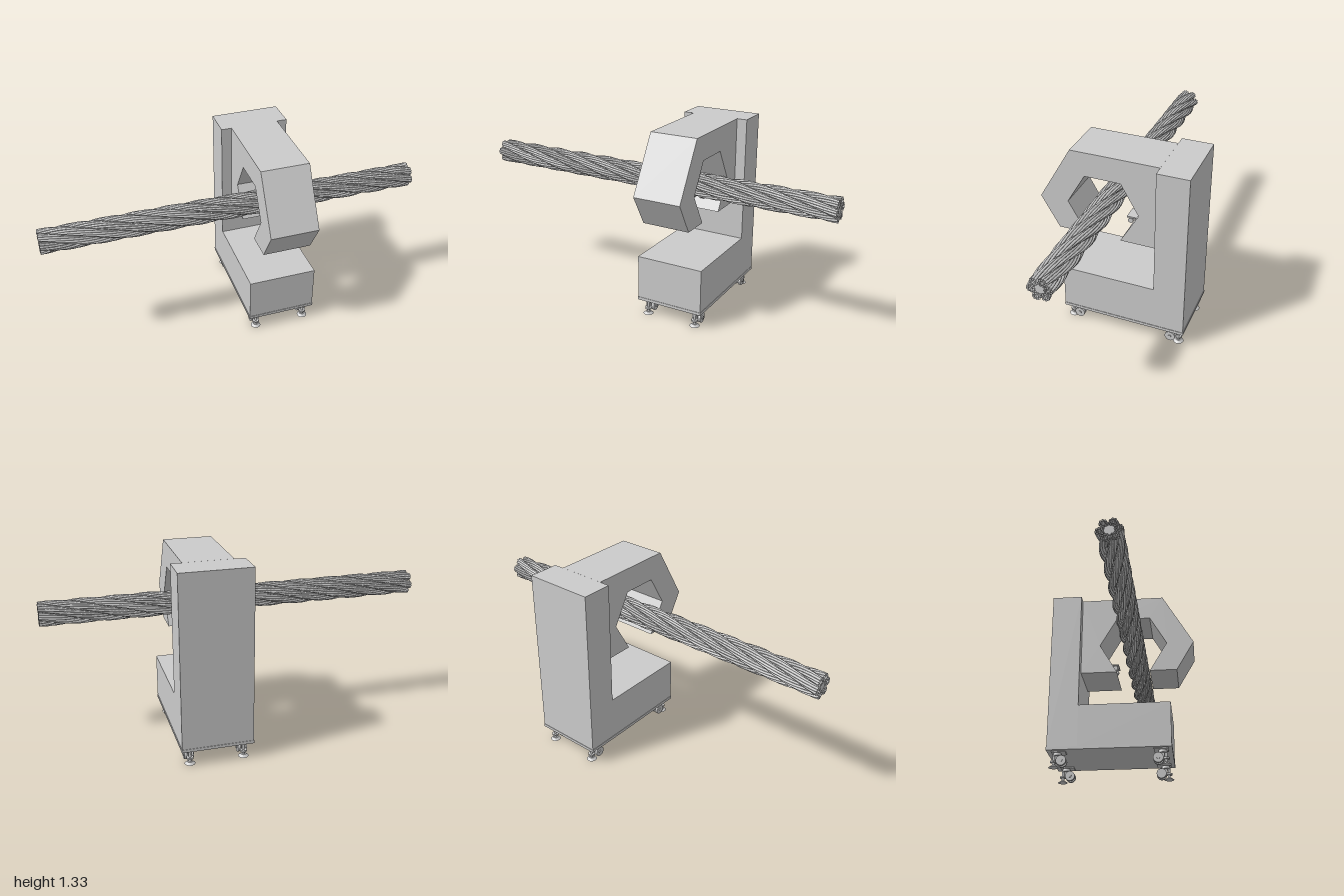
import * as THREE from 'three';
import { mergeGeometries } from 'three/addons/utils/BufferGeometryUtils.js';

const grey = new THREE.MeshStandardMaterial({ color: 0xcccccc });
const flat = new THREE.MeshStandardMaterial({ color: 0xcccccc, flatShading: true });
const thin = new THREE.MeshStandardMaterial({ color: 0xcccccc, side: THREE.DoubleSide });

const MID_Z = -0.276;    // middle of the machine along the rope
const ROPE_Y = 0.94;
const ROPE_HALF = 1.33;

function add(parent, name, geometry, x, y, z, material = grey) {
  const mesh = new THREE.Mesh(geometry, material);
  mesh.name = name;
  mesh.position.set(x, y, z);
  parent.add(mesh);
  return mesh;
}

// Box given by its x and y limits, centred on the machine's middle plane
function slab(parent, name, x0, x1, y0, y1, depth) {
  return add(parent, name, new THREE.BoxGeometry(x1 - x0, y1 - y0, depth),
    (x0 + x1) / 2, (y0 + y1) / 2, MID_Z, flat);
}

// Measuring head: half hexagon joined to the column, hexagonal opening cut open below
function headGeometry() {
  const R = 0.445, r = 0.248, drop = 0.22, h = Math.sqrt(3) / 2;
  const lean = drop / Math.sqrt(3);
  const shape = new THREE.Shape([
    [-0.385, R * h], [R / 2, R * h], [R, 0], [R - lean, -drop],
    [r - lean, -drop], [r, 0], [r / 2, r * h], [-r / 2, r * h],
    [-r, 0], [-r + lean, -drop], [-0.385, -drop],
  ].map(([x, y]) => new THREE.Vector2(x, y)));
  return new THREE.ExtrudeGeometry(shape, { depth: 0.34, bevelEnabled: false })
    .translate(0, 0, -0.17);
}

// Swivel caster with a twin wheel and a levelling foot; the wheels trail towards +x
function caster() {
  const g = new THREE.Group();
  g.name = 'caster';
  const cyl = (r0, r1, h, n = 16) => new THREE.CylinderGeometry(r0, r1, h, n);
  add(g, 'mountingPlate', new THREE.BoxGeometry(0.1, 0.008, 0.08), 0.01, 0.106, 0);
  add(g, 'swivelHead', cyl(0.028, 0.032, 0.022), 0, 0.092, 0);
  add(g, 'footStem', cyl(0.01, 0.01, 0.08, 10), -0.025, 0.05, 0);
  add(g, 'adjusterRing', cyl(0.024, 0.024, 0.012), -0.025, 0.042, 0);
  add(g, 'levellingFoot', cyl(0.018, 0.036, 0.014), -0.025, 0.007, 0);
  add(g, 'forkBody', new THREE.BoxGeometry(0.05, 0.04, 0.024), 0.012, 0.068, 0);
  for (const s of [-1, 1]) {
    add(g, 'wheel', cyl(0.036, 0.036, 0.018, 20), 0.03, 0.044, s * 0.022).rotation.x = Math.PI / 2;
    add(g, 'wheelHub', cyl(0.012, 0.012, 0.006, 12), 0.03, 0.044, s * 0.034).rotation.x = Math.PI / 2;
  }
  return g;
}

// One wire: a helix wound round a strand that is itself a helix round the rope
class WireCurve extends THREE.Curve {
  constructor(strandAngle, wireAngle, wireOrbit) {
    super();
    Object.assign(this, { strandAngle, wireAngle, wireOrbit });
  }
  getPoint(t, target = new THREE.Vector3()) {
    const z = (1 - 2 * t) * ROPE_HALF;
    const a = this.strandAngle + (z / 1.3) * Math.PI * 2;
    const b = this.wireAngle - (z / 0.9) * Math.PI * 2;
    return target.set(
      0.057 * Math.cos(a) + this.wireOrbit * Math.cos(b),
      0.057 * Math.sin(a) + this.wireOrbit * Math.sin(b), z);
  }
}

function rope() {
  const g = new THREE.Group();
  g.name = 'wireRope';
  g.position.y = ROPE_Y;
  const turn = Math.PI * 2;
  for (let s = 0; s < 6; s++) {
    const wires = [];
    const wire = (angle, orbit, radius) => wires.push(new THREE.TubeGeometry(
      new WireCurve(s / 6 * turn, angle, orbit), 110, radius, 6));
    wire(0, 0, 0.016);
    for (let w = 0; w < 8; w++) wire(w / 8 * turn, 0.0205, 0.0082);
    add(g, 'ropeStrand', mergeGeometries(wires), 0, 0, 0, thin);
  }
  add(g, 'ropeCore', new THREE.CylinderGeometry(0.034, 0.034, ROPE_HALF * 2 - 0.01, 12), 0, 0, 0)
    .rotation.x = Math.PI / 2;
  return g;
}

export function createModel() {
  const root = new THREE.Group();
  root.name = 'ropeInspectionMachine';

  // Everything is built along the rope (z) and then turned diagonally
  const machine = new THREE.Group();
  machine.name = 'machine';
  machine.rotation.y = -Math.PI / 4;
  root.add(machine);

  slab(machine, 'column', -0.6, -0.385, 0.13, 1.325, 0.486);
  slab(machine, 'base', -0.385, 0.27, 0.13, 0.44, 0.486);
  slab(machine, 'basePlate', -0.603, 0.273, 0.11, 0.131, 0.492);
  add(machine, 'measuringHead', headGeometry(), 0, ROPE_Y, MID_Z, flat);

  // Small guide bracket inside the opening, below the rope
  slab(machine, 'guideBracket', -0.2, -0.12, 0.828, 0.838, 0.1);
  for (const s of [-1, 1]) {
    add(machine, 'guideRoller', new THREE.CylinderGeometry(0.018, 0.018, 0.03, 14),
      -0.145, 0.808, MID_Z + s * 0.035).rotation.x = Math.PI / 2;
  }

  // Casters under the four corners, feet outwards
  for (const [x, yaw] of [[-0.53, 0], [0.205, Math.PI]]) {
    for (const s of [-1, 1]) {
      const c = caster();
      c.position.set(x, 0, MID_Z + s * 0.184);
      c.rotation.y = yaw;
      machine.add(c);
    }
  }

  machine.add(rope());
  return root;
}
